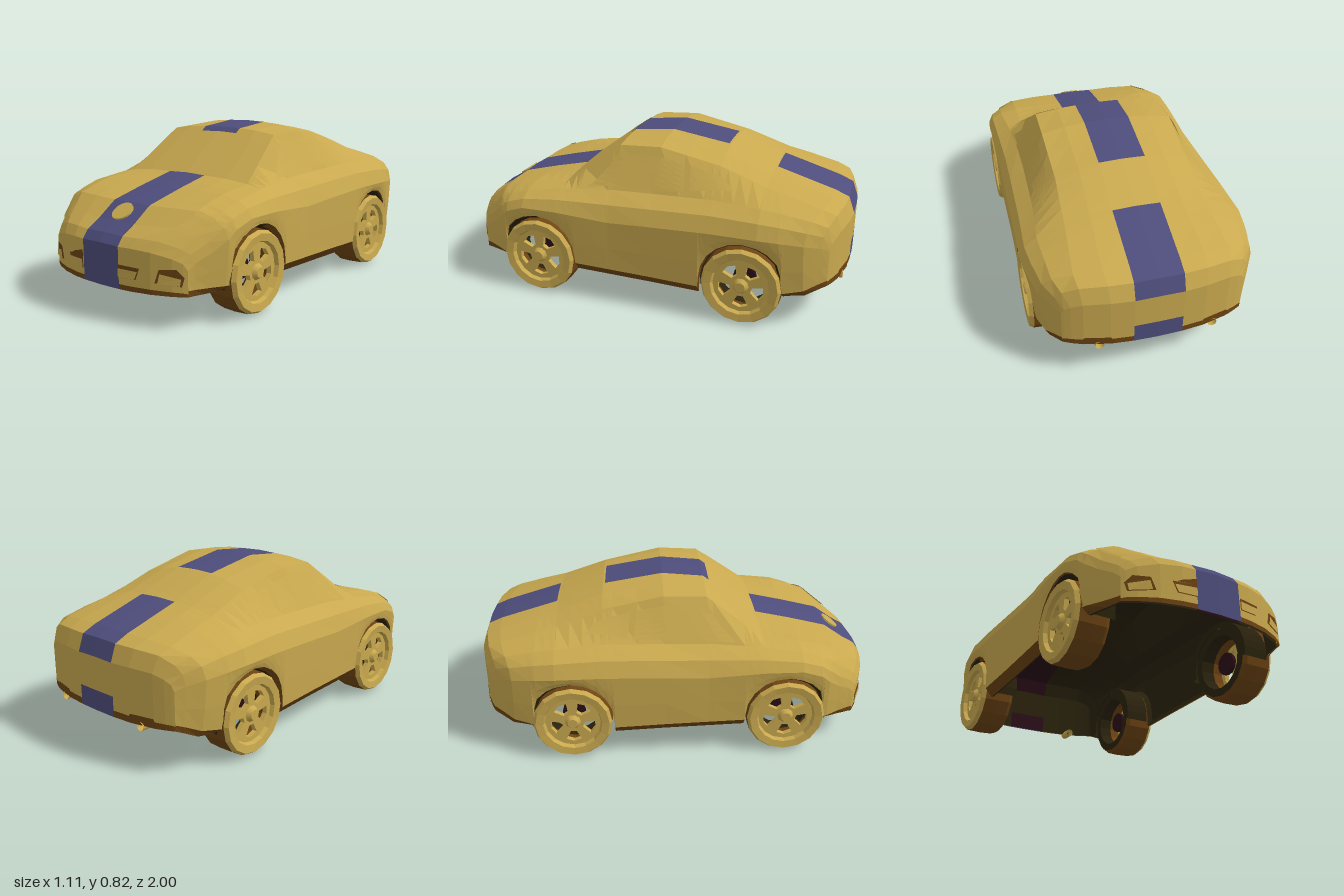
import * as THREE from 'three';

const mat = (name, color) => new THREE.MeshStandardMaterial({ name, color, side: THREE.DoubleSide });

// Body keys: z, top y, edge x/y (roof rail or hood crease), belt x/y, widest x/y, lower x
const KEYS = [
  [1.0, 0.35, 0.28, 0.34, 0.37, 0.32, 0.43, 0.27, 0.43],
  [0.97, 0.39, 0.30, 0.385, 0.39, 0.36, 0.445, 0.30, 0.44],
  [0.9, 0.43, 0.34, 0.435, 0.43, 0.41, 0.485, 0.34, 0.47],
  [0.8, 0.50, 0.38, 0.50, 0.46, 0.47, 0.525, 0.39, 0.51],
  [0.6, 0.55, 0.38, 0.55, 0.47, 0.53, 0.545, 0.46, 0.54],
  [0.42, 0.59, 0.38, 0.57, 0.455, 0.555, 0.545, 0.46, 0.535],
  [0.14, 0.80, 0.33, 0.775, 0.44, 0.575, 0.54, 0.44, 0.535],
  [-0.07, 0.82, 0.335, 0.785, 0.44, 0.58, 0.545, 0.45, 0.535],
  [-0.37, 0.77, 0.33, 0.72, 0.45, 0.59, 0.55, 0.46, 0.54],
  [-0.6, 0.68, 0.34, 0.64, 0.47, 0.58, 0.555, 0.46, 0.54],
  [-0.9, 0.59, 0.36, 0.57, 0.45, 0.54, 0.51, 0.44, 0.49],
  [-0.97, 0.56, 0.35, 0.545, 0.42, 0.51, 0.46, 0.42, 0.45],
  [-1.0, 0.48, 0.34, 0.47, 0.39, 0.45, 0.43, 0.40, 0.43],
];
const AXLE = 0.53, ARCH = 0.205, COLS = 9;
const { lerp: mix, clamp } = THREE.MathUtils;

// Rounds both ends in plan
const bow = (x, z) => {
  const k = Math.max(0, (Math.abs(z) - 0.7) / 0.3);
  return z - Math.sign(z) * k * ((z > 0 ? 0.35 : 0.2) * x * x + 1.25 * x ** 4);
};

const inArch = z => Math.abs(Math.abs(z) - AXLE) < ARCH + 0.001;

// Lower edge of the shell, lifted over the wheels
function bottomY(z) {
  const d = Math.abs(z) - AXLE;
  if (inArch(z)) return 0.2 + Math.sqrt(Math.max(0, ARCH * ARCH - d * d));
  if (z > 0.5) return 0.155;
  if (z < -0.5) return mix(0.16, 0.22, clamp((-z - 0.86) / 0.14, 0, 1));
  return 0.135 + 0.03 * z;
}

// Half cross-section from the centre line outward and down
function section(z) {
  let n = 0;
  while (n < KEYS.length - 2 && z < KEYS[n + 1][0]) n++;
  const t = (z - KEYS[n][0]) / (KEYS[n + 1][0] - KEYS[n][0]);
  const [, top, ex, ey, bx, by, wx, wy, lx] = KEYS[n].map((v, i) => mix(v, KEYS[n + 1][i], t));
  const b = bottomY(z), inset = 0.035 * clamp((1 - Math.abs(z)) / 0.2, 0, 1);
  const lip = b + (inArch(z) ? 0.018 : Math.abs(z) < 0.5 ? 0.045 : 0.028);
  return [[0, top], [0.115, top - 0.004], [ex * 0.65, mix(top, ey, 0.35)], [ex, ey], [bx, by],
    [mix(bx, wx, 0.7), mix(by, wy, 0.4)], [wx, wy],
    [mix(wx, lx, 0.4), mix(wy, lip, 0.55)], [lx, lip], [lx - inset, b]];
}

// Point on the shell at a station and a signed, possibly fractional, column
function surface(z, col) {
  const s = section(z), c = Math.abs(col), i = Math.min(Math.floor(c), COLS - 1);
  const x = Math.sign(col) * mix(s[i][0], s[i + 1][0], c - i);
  return new THREE.Vector3(x, mix(s[i][1], s[i + 1][1], c - i), bow(x, z));
}

// Row of points across the car; drop > 0 folds it down the end face
function row(z, drop = 0) {
  const pts = [];
  for (let c = -COLS; c <= COLS; c++) {
    const p = surface(z, c);
    p.y = mix(p.y, bottomY(z), drop);
    pts.push(p);
  }
  return { z, drop, pts };
}

// Colour slot of a shell cell: 0 paint, 1 stripe, 2 lower trim
function paint(a, b, col) {
  const z = (a.z + b.z) / 2, drop = (a.drop + b.drop) / 2;
  if (col === -1 || col === 0) {
    const front = z > 0.42, roof = z < 0.17 && z > -0.36;
    return front || roof || (z < -0.61 && (drop === 0 || drop > 0.62)) ? 1 : 0;
  }
  return col === -COLS || col === COLS - 1 || drop > 0.9 ? 2 : 0;
}

// Lofted shell; the lining is the same loft set slightly inside
function shellGeometry(lining) {
  const zs = new Set([...KEYS.map(k => k[0]), 0.17, -0.2, -0.36, -0.61, -0.75]);
  for (const e of [-1, 1]) {
    for (let k = 0; k <= 10; k++) zs.add(e * AXLE + ARCH * Math.cos(k * Math.PI / 10));
    zs.add(e * AXLE + ARCH + 0.003).add(e * AXLE - ARCH - 0.003);
  }
  const drops = [0.25, 0.5, 0.62, 0.75, 0.88, 1];
  const rows = [...drops.slice().reverse().map(d => row(1, d)),
    ...[...zs].sort((a, b) => b - a).map(z => row(z)), ...drops.map(d => row(-1, d))];
  if (lining) for (const p of rows.flatMap(r => r.pts)) p.set(p.x * 0.985, p.y - 0.02 * (p.y - 0.15), p.z * 0.985);
  const lists = [[], [], []];
  for (let r = 0; r < rows.length - 1; r++) {
    for (let i = 0; i < 2 * COLS; i++) {
      const a = rows[r].pts[i], b = rows[r].pts[i + 1], c = rows[r + 1].pts[i + 1], d = rows[r + 1].pts[i];
      lists[paint(rows[r], rows[r + 1], i - COLS)].push(...(lining ? [a, c, b, a, d, c] : [a, b, c, a, c, d]));
    }
  }
  const geo = new THREE.BufferGeometry().setFromPoints(lists.flat());
  let start = 0;
  lists.forEach((l, i) => { geo.addGroup(start, l.length, i); start += l.length; });
  geo.computeVertexNormals();
  return geo;
}

// Thin panel over the shell between four [z, column] corners
function panelGeometry([p, q, r, s], lift, n = 6) {
  const at = (u, v) => surface(mix(mix(p[0], q[0], u), mix(s[0], r[0], u), v),
    mix(mix(p[1], q[1], u), mix(s[1], r[1], u), v)).add(lift);
  const pts = [];
  for (let i = 0; i < n; i++) for (let j = 0; j < n; j++) {
    const a = at(i / n, j / n), b = at((i + 1) / n, j / n);
    const c = at((i + 1) / n, (j + 1) / n), d = at(i / n, (j + 1) / n);
    pts.push(...(lift.x < 0 ? [a, c, b, a, d, c] : [a, b, c, a, c, d]));
  }
  const geo = new THREE.BufferGeometry().setFromPoints(pts);
  geo.computeVertexNormals();
  return geo;
}

// Thin plate laid on the front or rear face from an x, y outline
function facePlate(outline, side, end, lift) {
  const geo = new THREE.ShapeGeometry(new THREE.Shape(outline.map(([x, y]) => new THREE.Vector2(side * x, y))));
  if (end < 0) geo.index.array.reverse();
  const pos = geo.attributes.position;
  for (let i = 0; i < pos.count; i++) pos.setZ(i, bow(pos.getX(i), end) + end * lift);
  const flat = geo.toNonIndexed();
  flat.computeVertexNormals();
  return flat;
}

export function createModel() {
  const gold = mat('gold paint', 0xc9a94f), blue = mat('blue stripe', 0x4e4d7c), brown = mat('brown trim', 0x6e4413);
  const dark = mat('dark underside', 0x2a220d), maroon = mat('dark maroon', 0x2a0e18);
  const car = new THREE.Group();
  car.name = 'car';
  const add = (parent, name, geo, material) => {
    const mesh = new THREE.Mesh(geo, material);
    mesh.name = name;
    parent.add(mesh);
    return mesh;
  };

  // Open-bottomed body shell and its dark lining
  add(car, 'body', shellGeometry(false), [gold, blue, brown]);
  add(car, 'lining', shellGeometry(true), [dark, maroon, dark]);

  // Round disc on the bonnet
  const badge = add(car, 'bonnetDisc', new THREE.CylinderGeometry(0.053, 0.053, 0.009, 16), gold);
  badge.position.set(0, 0.464, 0.855);
  badge.rotation.x = 0.61;

  // Glass
  add(car, 'windscreen', panelGeometry([[0.39, -2.8], [0.39, 2.8], [0.18, 2.8], [0.18, -2.8]],
    new THREE.Vector3(0, 0.004, 0.003), 8), gold);
  for (const s of [-1, 1]) {
    const out = new THREE.Vector3(s * 0.005, 0.002, 0);
    add(car, 'doorWindow', panelGeometry([[0.28, s * 3.2 + s * 0.7], [-0.22, s * 3.9], [-0.2, s * 3.2], [0.15, s * 3.2]]
      .reverse(), out), gold);
    add(car, 'quarterWindow', panelGeometry([[-0.23, s * 3.2], [-0.4, s * 3.3], [-0.46, s * 3.6], [-0.25, s * 3.85]], out), gold);
    add(car, 'headlight', panelGeometry([[0.94, s * 2.9], [0.94, s * 4.2], [0.76, s * 4.1], [0.76, s * 3.1]],
      new THREE.Vector3(s * 0.002, 0.004, 0.003)), gold);

    // Front intakes with lighter inserts
    add(car, 'outerIntake', facePlate([[0.30, 0.21], [0.41, 0.20], [0.42, 0.24], [0.39, 0.275], [0.32, 0.27]], s, 1, 0.004), brown);
    add(car, 'outerIntakeInsert', facePlate([[0.315, 0.21], [0.405, 0.203], [0.41, 0.235], [0.325, 0.253]], s, 1, 0.008), gold);
    add(car, 'innerIntake', facePlate([[0.116, 0.21], [0.21, 0.212], [0.23, 0.265], [0.116, 0.268]], s, 1, 0.004), brown);
    add(car, 'innerIntakeInsert', facePlate([[0.118, 0.212], [0.207, 0.214], [0.222, 0.25], [0.118, 0.252]], s, 1, 0.008), gold);

    // Rear bumper vent and exhaust
    add(car, 'rearVent', facePlate([[0.2, 0.225], [0.36, 0.225], [0.34, 0.265], [0.22, 0.265]], s, -1, 0.004), brown);
    const pipe = add(car, 'exhaust', new THREE.CylinderGeometry(0.022, 0.022, 0.08, 8, 1, true), gold);
    pipe.rotation.x = Math.PI / 2;
    pipe.position.set(s * 0.27, 0.215, -0.94);
  }
  add(car, 'intakeBrow', facePlate([[0.116, 0.268], [0.21, 0.266], [0.18, 0.28], [0.116, 0.297]], -1, 1, 0.004), brown);

  // Wheel parts, turned about y and then laid along x
  const lathe = (pts, ...arc) => {
    const geo = new THREE.LatheGeometry(pts.map(p => new THREE.Vector2(...p)).reverse(), 16, ...arc)
      .rotateZ(-Math.PI / 2).toNonIndexed();
    geo.computeVertexNormals();
    return geo;
  };
  const sidewall = lathe([[0.135, 0.515], [0.145, 0.54], [0.182, 0.545], [0.195, 0.525]]);
  const tread = lathe([[0.195, 0.525], [0.198, 0.45], [0.195, 0.39], [0.18, 0.37]]);
  const barrel = lathe([[0.135, 0.44], [0.135, 0.515]]);
  const innerBarrel = lathe([[0.18, 0.37], [0.14, 0.37], [0.135, 0.44]]);
  const arch = lathe([[ARCH + 0.002, 0.495], [ARCH + 0.002, 0.36], [0.172, 0.355]], Math.PI - 0.2, Math.PI + 0.4);

  // Five-spoke rim
  const disc = new THREE.Shape().absarc(0, 0, 0.137, 0, Math.PI * 2);
  const hole = [[0.056, -0.25], [0.108, -0.36], [0.115, 0], [0.108, 0.36], [0.056, 0.25]];
  for (let k = 0; k < 5; k++) {
    const a = Math.PI * (0.3 + 0.4 * k);
    disc.holes.push(new THREE.Path(hole.map(([r, d]) => new THREE.Vector2(r * Math.cos(a + d), r * Math.sin(a + d)))));
  }
  const rim = new THREE.ExtrudeGeometry(disc, { depth: 0.025, bevelEnabled: false, curveSegments: 8 })
    .rotateY(Math.PI / 2).translate(0.495, 0, 0);
  const hub = new THREE.CylinderGeometry(0.025, 0.04, 0.02, 10).rotateZ(-Math.PI / 2).translate(0.53, 0, 0);
  const brake = new THREE.CylinderGeometry(0.058, 0.058, 0.02, 12).rotateZ(-Math.PI / 2).translate(0.42, 0, 0);

  for (const z of [AXLE, -AXLE]) for (const s of [1, -1]) {
    const wheel = new THREE.Group();
    wheel.name = (z > 0 ? 'front' : 'rear') + (s > 0 ? 'Left' : 'Right') + 'Wheel';
    add(wheel, 'tyreSidewall', sidewall, gold);
    add(wheel, 'tyreTread', tread, brown);
    add(wheel, 'rimBarrel', barrel, brown);
    add(wheel, 'innerBarrel', innerBarrel, dark);
    add(wheel, 'rimSpokes', rim, gold);
    add(wheel, 'hub', hub, gold);
    add(wheel, 'brakeDisc', brake, maroon);
    add(wheel, 'archLiner', arch, dark);
    wheel.position.set(0, 0.199, z);
    wheel.rotation.y = s > 0 ? 0 : Math.PI;
    car.add(wheel);
  }
  return car;
}
